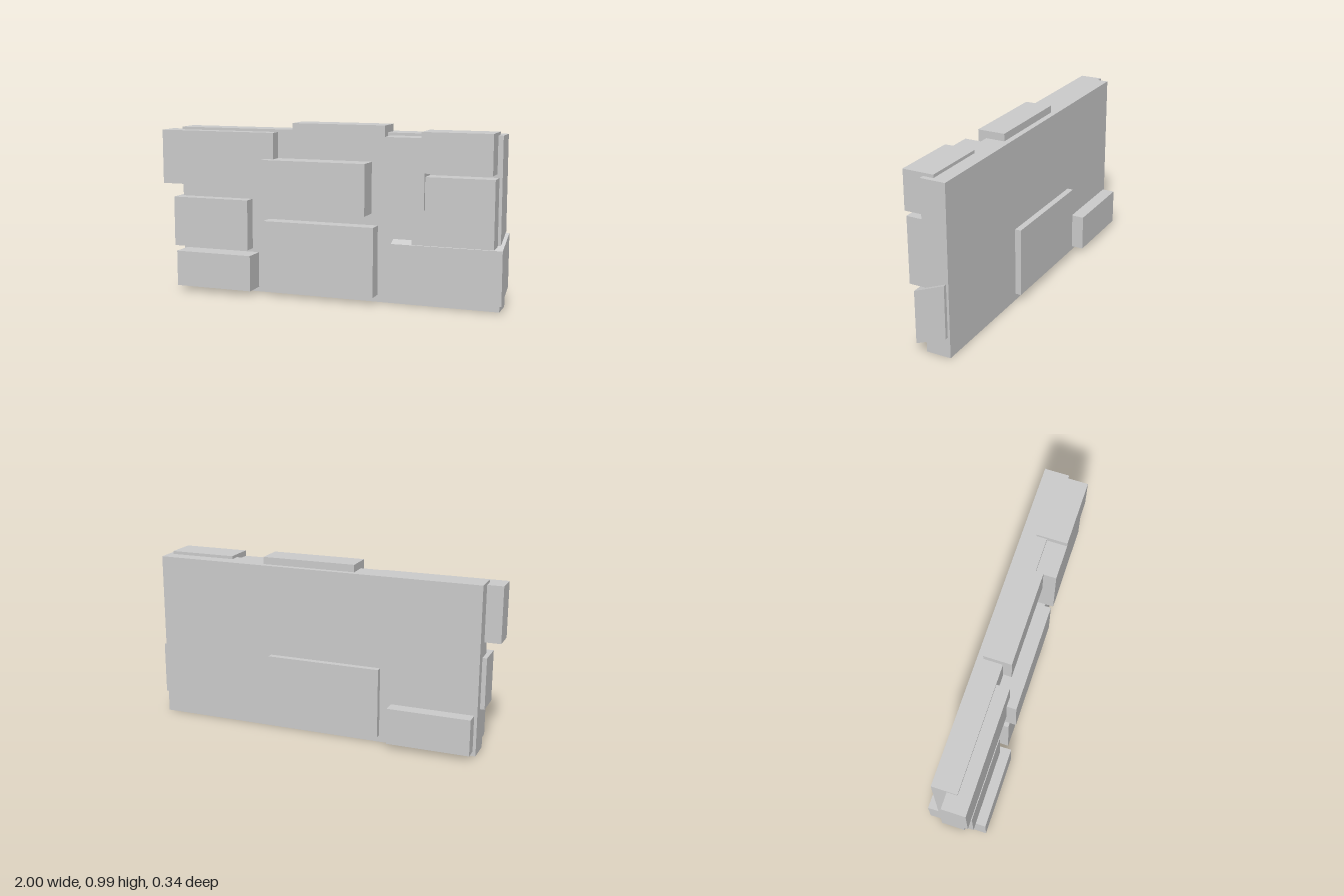
import * as THREE from 'three';

export function createModel() {
  const group = new THREE.Group();
  const material = new THREE.MeshStandardMaterial({ color: 0xcccccc, flatShading: true });

  // Box given by its limits on each axis
  function block(name, [x0, x1], [y0, y1], [z0, z1]) {
    const geometry = new THREE.BoxGeometry(x1 - x0, y1 - y0, z1 - z0);
    geometry.translate((x0 + x1) / 2, (y0 + y1) / 2, (z0 + z1) / 2);
    const mesh = new THREE.Mesh(geometry, material);
    mesh.name = name;
    group.add(mesh);
    return mesh;
  }

  // Wall core
  block('wallCore', [-0.91, 0.98], [0, 0.947], [-0.095, 0.045]);

  // Stones on the right-hand end (-x)
  block('upperRightStone', [-1, -0.3], [0.62, 0.932], [-0.012, 0.118]);
  block('middleRightStone', [-0.935, -0.465], [0.253, 0.542], [-0.04, 0.115]);
  block('lowerRightStone', [-0.893, -0.427], [0.027, 0.232], [-0.17, 0.17]);

  // Stones in the middle
  block('topCentreStone', [-0.192, 0.348], [0.797, 0.988], [-0.062, 0.093]);
  block('middleCentreStone', [-0.352, 0.258], [0.497, 0.784], [0, 0.171]);
  block('lowerCentreStone', [-0.36, 0.295], [0.04, 0.432], [-0.13, 0.13]);

  // Stones on the left-hand end (+x)
  block('tallLeftStone', [0.368, 0.588], [0.547, 0.932], [0, 0.16]);
  block('topLeftStone', [0.568, 0.952], [0.745, 0.964], [-0.014, 0.16]);
  block('middleLeftStone', [0.518, 0.963], [0.355, 0.725], [0, 0.143]);

  // Tilted stone: a box sheared upward toward the back
  const tilted = block('lowerLeftStone', [0.385, 1], [0.045, 0.343], [-0.082, 0.094]);
  const position = tilted.geometry.attributes.position;
  for (let i = 0; i < position.count; i++) {
    position.setY(i, position.getY(i) + (0.094 - position.getZ(i)) * 0.4);
  }
  tilted.geometry.computeVertexNormals();

  return group;
}
